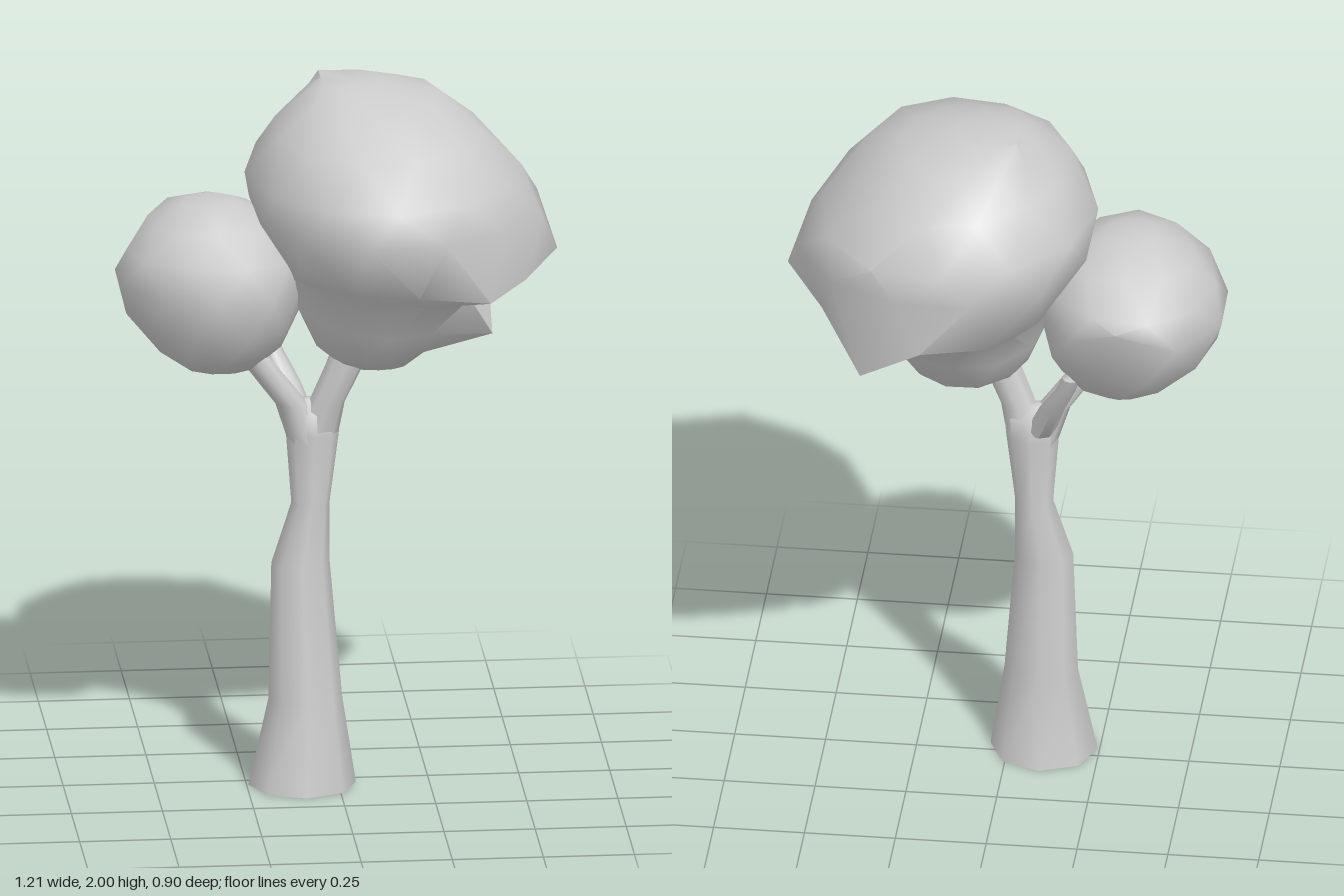
import * as THREE from 'three';
import { toCreasedNormals } from 'three/addons/utils/BufferGeometryUtils.js';

const material = new THREE.MeshStandardMaterial({ color: 0xcccccc });

// Skins closed elliptical rings given as [y, xMin, xMax, zMin, zMax], bottom to top.
// stagger turns each ring by part of a step; wobble swells the outline gently;
// pulls are points to which the nearest vertex is moved.
function loft(name, rings, sides, { stagger = 0, wobble = 0, pulls = [], crease = 1.1 } = {}) {
  const points = [];
  const index = [];
  rings.forEach(([y, x0, x1, z0, z1], j) => {
    for (let i = 0; i < sides; i++) {
      const a = ((i + j * stagger) / sides) * Math.PI * 2;
      const s = 1 + wobble * Math.sin(3 * a + 1.7 * j);
      points.push(new THREE.Vector3(
        (x0 + x1) / 2 + ((x1 - x0) / 2) * s * Math.cos(a),
        y + wobble * 0.4 * Math.sin(2 * a + j) * (j > 0 && j < rings.length - 1 ? 1 : 0),
        (z0 + z1) / 2 + ((z1 - z0) / 2) * s * Math.sin(a)
      ));
    }
  });
  for (const p of pulls) {
    const target = new THREE.Vector3(...p);
    points.reduce((m, v) => (v.distanceTo(target) < m.distanceTo(target) ? v : m)).copy(target);
  }
  for (let j = 0; j < rings.length - 1; j++) {
    for (let i = 0; i < sides; i++) {
      const n = (i + 1) % sides;
      const a = j * sides + i, b = j * sides + n;
      const c = a + sides, d = b + sides;
      index.push(a, c, b, b, c, d);
    }
  }
  // end caps
  const last = (rings.length - 1) * sides;
  for (const [start, top] of [[0, false], [last, true]]) {
    const centre = new THREE.Vector3();
    for (let i = 0; i < sides; i++) centre.addScaledVector(points[start + i], 1 / sides);
    const k = points.push(centre) - 1;
    for (let i = 0; i < sides; i++) {
      const a = start + i, b = start + ((i + 1) % sides);
      index.push(...(top ? [a, k, b] : [a, b, k]));
    }
  }
  const geometry = new THREE.BufferGeometry().setFromPoints(points);
  geometry.setIndex(index);
  const mesh = new THREE.Mesh(toCreasedNormals(geometry, crease), material);
  mesh.name = name;
  return mesh;
}

export function createModel() {
  const tree = new THREE.Group();
  tree.name = 'tree';

  // Flared, slightly bent trunk
  tree.add(loft('trunk', [
    [0, -0.245, 0.05, -0.10, 0.175],
    [0.25, -0.19, 0.012, -0.055, 0.135],
    [0.63, -0.18, -0.02, -0.06, 0.09],
    [0.8, -0.125, -0.02, -0.04, 0.065],
    [1.0, -0.14, 0.005, -0.035, 0.07],
    [1.06, -0.145, 0.01, -0.03, 0.065],
    [1.1, -0.11, -0.055, 0, 0.035]
  ], 8));

  // Three branches leaving the fork
  tree.add(loft('rightBranch', [
    [0.98, -0.135, 0.0, -0.03, 0.065],
    [1.09, -0.08, 0.02, -0.015, 0.07],
    [1.2, -0.035, 0.07, 0.0, 0.085],
    [1.32, 0.01, 0.11, 0.0, 0.08]
  ], 8));
  tree.add(loft('leftBranch', [
    [0.98, -0.135, -0.03, -0.03, 0.065],
    [1.09, -0.17, -0.08, -0.015, 0.07],
    [1.2, -0.25, -0.165, 0.01, 0.08],
    [1.27, -0.29, -0.22, 0.025, 0.085]
  ], 8));
  tree.add(loft('backBranch', [
    [1.02, -0.13, -0.05, -0.035, 0.04],
    [1.13, -0.165, -0.095, -0.085, -0.01],
    [1.22, -0.2, -0.145, -0.13, -0.07],
    [1.27, -0.215, -0.165, -0.145, -0.095]
  ], 8));

  // Large crown: a broad cap overhanging a rounded underside
  tree.add(loft('largeCrown', [
    [1.19, 0.03, 0.19, -0.05, 0.07],
    [1.26, -0.07, 0.28, -0.18, 0.21],
    [1.36, -0.11, 0.35, -0.25, 0.3],
    [1.46, -0.13, 0.42, -0.33, 0.35],
    [1.5, -0.16, 0.54, -0.43, 0.44],
    [1.65, -0.245, 0.565, -0.45, 0.46],
    [1.75, -0.245, 0.515, -0.455, 0.44],
    [1.87, -0.17, 0.4, -0.35, 0.35],
    [1.95, -0.09, 0.28, -0.25, 0.19],
    [1.99, -0.04, 0.14, -0.14, 0.06]
  ], 12, {
    stagger: 0.5, wobble: 0.025, crease: 0.95,
    pulls: [[0.605, 1.51, 0.01], [0.41, 1.33, 0.2], [0.36, 1.4, -0.39], [0.39, 1.47, 0.37], [-0.04, 2, -0.11]]
  }));

  // Small crown on the other side
  tree.add(loft('smallCrown', [
    [1.2, -0.42, -0.22, -0.1, 0.1],
    [1.25, -0.5, -0.15, -0.17, 0.17],
    [1.34, -0.575, -0.1, -0.24, 0.24],
    [1.45, -0.605, -0.09, -0.29, 0.27],
    [1.54, -0.58, -0.1, -0.28, 0.26],
    [1.62, -0.52, -0.16, -0.2, 0.19],
    [1.67, -0.42, -0.27, -0.07, 0.08]
  ], 10, { stagger: 0.5, wobble: 0.03, pulls: [[-0.6, 1.45, -0.09], [-0.33, 1.52, -0.3]] }));

  return tree;
}
